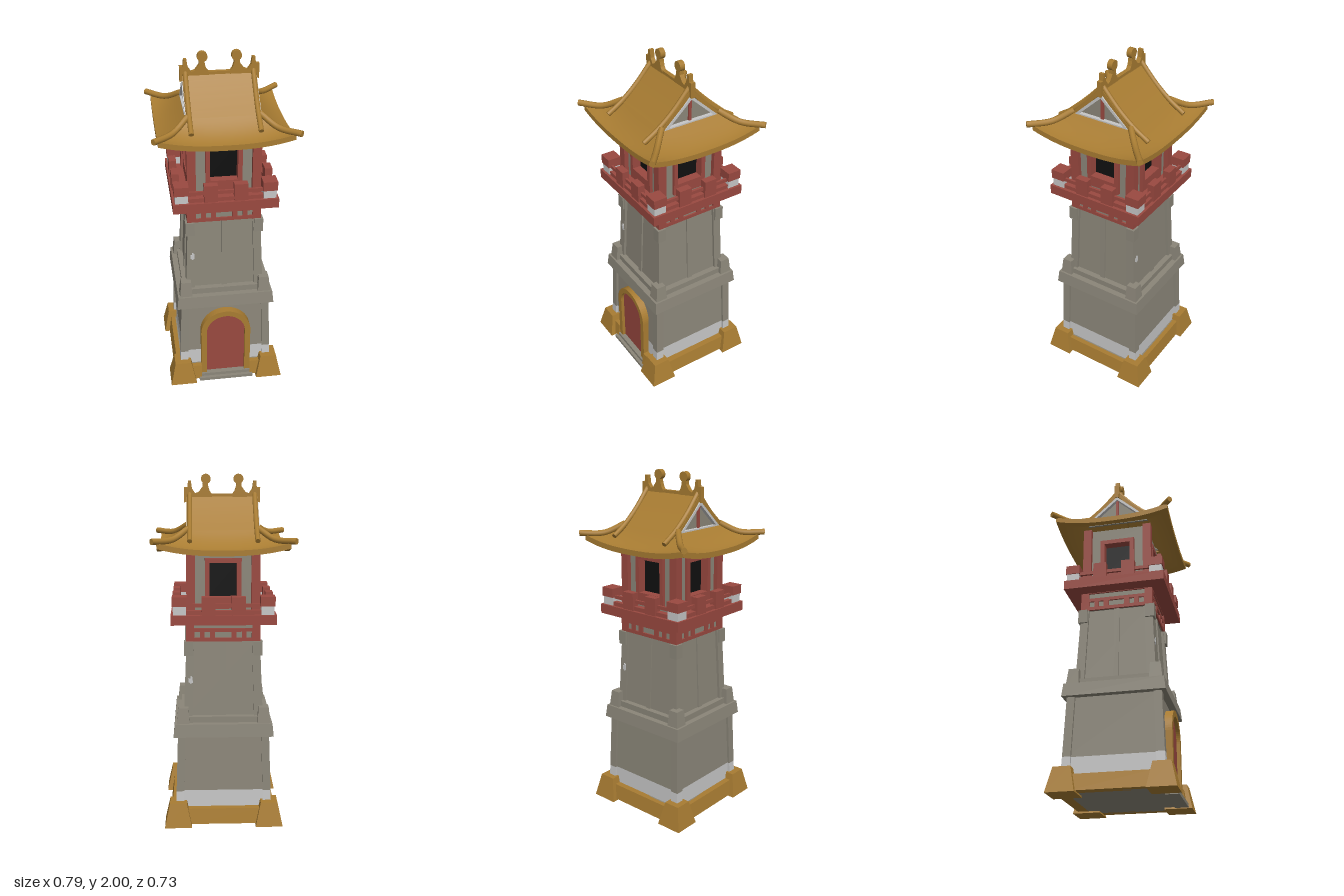
import * as THREE from 'three';

const mat = (name, color) => Object.assign(new THREE.MeshStandardMaterial({ color }), { name });

export function createModel() {
  const gold = mat('gold', 0xa87c32), stone = mat('stone', 0x8b8679), red = mat('red', 0x9a4940);
  const white = mat('white', 0xc6c6c6), black = mat('black', 0x101010);
  const model = new THREE.Group();
  model.name = 'watchtower';

  const add = (parent, name, geo, material) => {
    const m = new THREE.Mesh(geo, material);
    m.name = name;
    parent.add(m);
    return m;
  };
  // box given by its limits
  const box = (p, name, m, x0, x1, y0, y1, z0, z1) =>
    add(p, name, new THREE.BoxGeometry(x1 - x0, y1 - y0, z1 - z0)
      .translate((x0 + x1) / 2, (y0 + y1) / 2, (z0 + z1) / 2), m);
  // tapered block: lower and upper rectangles [x0, x1, z0, z1]
  const taper = (p, name, m, a, y0, b, y1) => {
    const g = new THREE.BoxGeometry(1, 1, 1), q = g.attributes.position;
    for (let i = 0; i < q.count; i++) {
      const r = q.getY(i) > 0 ? b : a;
      q.setXYZ(i, r[q.getX(i) > 0 ? 1 : 0], q.getY(i) > 0 ? y1 : y0, r[q.getZ(i) > 0 ? 3 : 2]);
    }
    g.computeVertexNormals();
    return add(p, name, g, m);
  };
  const sq = (h) => [-h, h, -h, h];
  // four copies turned about the tower axis; k = 0 is the front
  const sides = (name, build) => {
    for (let k = 0; k < 4; k++) {
      const g = new THREE.Group();
      g.name = name;
      g.rotation.y = k * Math.PI / 2;
      build(g, k);
      model.add(g);
    }
  };
  const poly = (pts) => new THREE.Shape(pts.map(([x, y]) => new THREE.Vector2(x, y)));
  const rect = (x0, x1, y0, y1) => poly([[x0, y0], [x1, y0], [x1, y1], [x0, y1]]);
  const plate = (p, name, m, shape, holes, z, depth) => {
    shape.holes = holes;
    return add(p, name, new THREE.ExtrudeGeometry(shape, { depth, bevelEnabled: false, curveSegments: 16 }).translate(0, 0, z), m);
  };

  // ---- lower storey
  box(model, 'floor', stone, -0.27, 0.27, 0.01, 0.1, -0.27, 0.27);
  taper(model, 'lowerWallBand', white, sq(0.262), 0.1, sq(0.26), 0.2);
  taper(model, 'lowerWall', stone, sq(0.26), 0.2, sq(0.247), 0.54);
  sides('lowerCorner', (g, k) => {
    taper(g, 'cornerFoot', gold, [0.185, 0.342, 0.185, 0.342], 0, [0.215, 0.312, 0.215, 0.312], 0.14);
    taper(g, 'pilasterBase', white, [0.23, 0.278, 0.23, 0.278], 0.1, [0.228, 0.274, 0.228, 0.274], 0.2);
    taper(g, 'pilaster', stone, [0.228, 0.274, 0.228, 0.274], 0.2, [0.217, 0.262, 0.217, 0.262], 0.54);
    const spans = k === 0 ? [[-0.22, -0.15], [0.15, 0.22]] : [[-0.22, 0.22]];
    for (const [a, b] of spans)
      taper(g, 'plinth', gold, [a, b, 0.25, 0.312], 0.01, [a, b, 0.25, 0.298], 0.1);
  });

  // ---- door
  const arch = (w, y0, spring) => {
    const s = new THREE.Shape();
    s.moveTo(-w, y0);
    s.lineTo(w, y0);
    s.lineTo(w, spring);
    s.absarc(0, spring, w, 0, Math.PI, false);
    s.lineTo(-w, y0);
    return s;
  };
  plate(model, 'doorFrame', gold, arch(0.15, 0.03, 0.348), [arch(0.116, 0.035, 0.348)], 0.24, 0.055);
  plate(model, 'door', red, arch(0.117, 0.035, 0.348), [], 0.24, 0.035);
  box(model, 'lowerStep', stone, -0.165, 0.165, 0, 0.02, 0.25, 0.325);
  box(model, 'upperStep', stone, -0.15, 0.15, 0.02, 0.04, 0.25, 0.306);

  // ---- ledge between storeys
  taper(model, 'ledge', stone, sq(0.287), 0.535, sq(0.279), 0.61);
  box(model, 'ledgeStep', stone, -0.245, 0.245, 0.61, 0.645, -0.245, 0.245);
  sides('ledgeCorner', (g) =>
    taper(g, 'ledgeBlock', stone, [0.195, 0.268, 0.195, 0.268], 0.61, [0.2, 0.258, 0.2, 0.258], 0.702));

  // ---- middle storey
  taper(model, 'middleWall', stone, sq(0.212), 0.64, sq(0.192), 1.08);
  sides('middleSide', (g, k) => {
    taper(g, 'middlePilaster', stone, [0.177, 0.227, 0.177, 0.227], 0.64, [0.163, 0.208, 0.163, 0.208], 1.08);
    taper(g, 'pilasterCap', stone, [0.17, 0.222, 0.17, 0.222], 1.0, [0.17, 0.222, 0.17, 0.222], 1.08);
    taper(g, 'middlePost', stone, [-0.016, 0.016, 0.19, 0.22], 0.64, [-0.016, 0.016, 0.18, 0.201], 1.08);
    if (k % 2 === 0)
      plate(g, 'plasterPatch', white, poly([[-0.198, 0.845], [-0.185, 0.835], [-0.174, 0.842], [-0.175, 0.875], [-0.187, 0.882], [-0.188, 0.866], [-0.198, 0.868]]), [], 0.215, 0.006);
  });

  // ---- red lattice frieze
  box(model, 'friezeCore', stone, -0.2, 0.2, 1.08, 1.2, -0.2, 0.2);
  sides('frieze', (g) => {
    const holes = [-0.146, -0.09, 0.09, 0.146].map((x) => rect(x - 0.015, x + 0.015, 1.1, 1.135));
    holes.push(rect(-0.046, 0.046, 1.1, 1.135), rect(-0.165, 0.165, 1.155, 1.187));
    plate(g, 'lattice', red, rect(-0.21, 0.21, 1.08, 1.2), holes, 0.2, 0.01);
  });

  // ---- balcony with battlements
  box(model, 'balconyFloor', red, -0.293, 0.293, 1.19, 1.245, -0.293, 0.293);
  sides('battlement', (g) => {
    box(g, 'cornerMerlonBase', white, 0.208, 0.28, 1.245, 1.292, 0.208, 0.28);
    box(g, 'cornerMerlonTop', red, 0.204, 0.285, 1.292, 1.345, 0.204, 0.285);
    for (const s of [-1, 1])
      box(g, 'merlon', red, s * 0.083 - 0.038, s * 0.083 + 0.038, 1.245, 1.345, 0.243, 0.285);
    box(g, 'lowerRail', red, -0.21, 0.21, 1.245, 1.268, 0.247, 0.275);
    box(g, 'upperRail', red, -0.21, 0.21, 1.285, 1.305, 0.255, 0.268);
  });

  // ---- lookout room
  box(model, 'roomInterior', black, -0.148, 0.148, 1.245, 1.6, -0.148, 0.148);
  sides('roomSide', (g) => {
    box(g, 'roomPost', red, 0.157, 0.206, 1.245, 1.63, 0.157, 0.206);
    plate(g, 'roomWall', stone, rect(-0.17, 0.17, 1.245, 1.63), [rect(-0.09, 0.09, 1.31, 1.535)], 0.15, 0.03);
    plate(g, 'windowFrame', red, rect(-0.102, 0.102, 1.265, 1.548), [rect(-0.077, 0.077, 1.33, 1.522)], 0.149, 0.05);
  });

  // ---- roof: thick curved sheets, f(u, v) gives the top surface
  const sheet = (name, nu, nv, thick, turn, f) => {
    const g = new THREE.BoxGeometry(2, 1, 1, nu, 1, nv), q = g.attributes.position;
    for (let i = 0; i < q.count; i++) {
      const [x, y, z] = f(q.getX(i), q.getZ(i) + 0.5);
      q.setXYZ(i, x, q.getY(i) > 0 ? y : y - thick, z);
    }
    g.computeVertexNormals();
    add(model, name, g.rotateY(turn), gold);
  };
  const lerp = THREE.MathUtils.lerp;
  const eave = (x0, x1, z0, z1) => (u, v) => [
    u * lerp(x0, x1, v),
    1.7 - 0.095 * (1 - (1 - v) ** 1.6) + 0.04 * Math.abs(u) ** 2.5 * v * v,
    lerp(z0, z1, v)];
  for (const t of [0, Math.PI]) {
    sheet('upperRoof', 1, 6, 0.03, t, (u, v) => [u * 0.2, 1.887 - 0.187 * v - 0.02 * v * (1 - v), v * 0.185]);
    sheet('eaveRoof', 16, 8, 0.03, t, eave(0.2, 0.36, 0.185, 0.335));
    sheet('sideEaveRoof', 16, 8, 0.03, t + Math.PI / 2, eave(0.185, 0.335, 0.2, 0.36));
  }

  // rounded roof ridges: a cylinder bent along a curve
  const ridge = (name, r, pts) => {
    const c = new THREE.CatmullRomCurve3(pts.map((p) => new THREE.Vector3(...p)));
    const g = new THREE.CylinderGeometry(r, r, 1, 10, 10), q = g.attributes.position;
    for (let i = 0; i < q.count; i++) {
      const t = THREE.MathUtils.clamp(q.getY(i) + 0.5, 0, 1), d = c.getTangent(t);
      const s = new THREE.Vector3().crossVectors(d, new THREE.Vector3(0, 1, 0)).normalize();
      const n = new THREE.Vector3().crossVectors(s, d);
      const p = c.getPoint(t).addScaledVector(s, q.getX(i)).addScaledVector(n, q.getZ(i));
      q.setXYZ(i, p.x, p.y, p.z);
    }
    g.computeVertexNormals();
    add(model, name, g, gold);
  };
  for (const sx of [-1, 1]) for (const sz of [-1, 1]) {
    ridge('hipRidge', 0.017, [[sx * 0.195, 1.708, sz * 0.18], [sx * 0.28, 1.656, sz * 0.262], [sx * 0.385, 1.655, sz * 0.355]]);
    ridge('slopeRidge', 0.014, [[sx * 0.184, 1.893, 0], [sx * 0.184, 1.787, sz * 0.095], [sx * 0.184, 1.706, sz * 0.19], [sx * 0.184, 1.65, sz * 0.28]]);
  }
  box(model, 'topRidge', gold, -0.2, 0.2, 1.85, 1.89, -0.012, 0.012);

  // ---- gables and ridge-end ornaments
  for (const s of [-1, 1]) {
    const gable = new THREE.Group();
    gable.name = 'gable';
    gable.rotation.y = s * Math.PI / 2;
    model.add(gable);
    const tri = (w, y0, y1) => poly([[-w, y0], [w, y0], [0, y1]]);
    plate(gable, 'gablePanel', stone, tri(0.185, 1.67, 1.855), [], 0.17, 0.012);
    plate(gable, 'gableFrame', white, tri(0.175, 1.688, 1.848), [tri(0.138, 1.703, 1.828)], 0.18, 0.025);
    box(gable, 'gablePost', red, -0.008, 0.008, 1.7, 1.835, 0.18, 0.194);

    const pts = [[0.215, 1.84], [0.215, 1.925], [0.196, 1.925], [0.192, 1.962], [0.176, 1.962], [0.17, 1.918],
      [0.152, 1.892], [0.132, 1.9], [0.11, 1.93], [0.108, 1.965], [0.082, 1.965], [0.078, 1.93], [0.07, 1.905], [0.055, 1.885], [0.06, 1.86], [0.17, 1.86]];
    plate(model, 'ridgeOrnament', gold, poly(pts.map(([x, y]) => [s * x, y])), [], -0.013, 0.026);
    add(model, 'ornamentScroll', new THREE.CylinderGeometry(0.028, 0.028, 0.03, 14)
      .rotateX(Math.PI / 2).translate(s * 0.092, 1.972, 0), gold);
  }
  return model;
}
